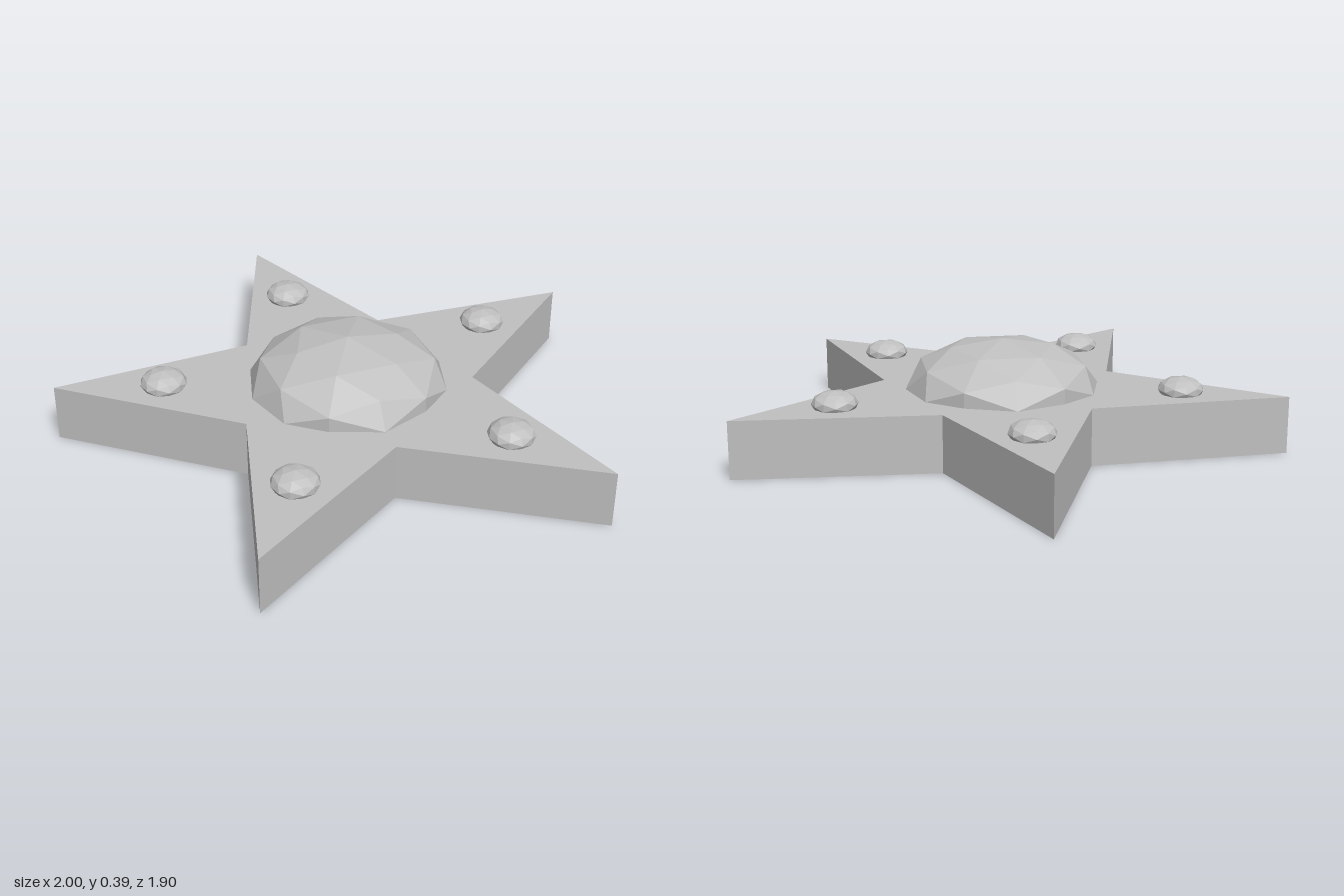
import * as THREE from 'three';

export function createModel() {
  const model = new THREE.Group();
  model.name = 'jewelledStar';
  const grey = new THREE.MeshStandardMaterial({ color: 0xc0c0c0, flatShading: true });
  grey.name = 'grey';

  const outer = 1.0515, inner = 0.45, height = 0.212, centreZ = 0.1;

  // Five-pointed slab, one tip pointing to the back
  const points = [];
  for (let i = 0; i < 10; i++) {
    const a = Math.PI / 2 + (i * Math.PI) / 5;
    const r = i % 2 ? inner : outer;
    points.push(new THREE.Vector2(r * Math.cos(a), r * Math.sin(a)));
  }
  const slab = new THREE.ExtrudeGeometry(new THREE.Shape(points), { depth: height, bevelEnabled: false });
  slab.rotateX(-Math.PI / 2);
  const star = new THREE.Mesh(slab, grey);
  star.name = 'starBody';
  star.position.z = centreZ;
  model.add(star);

  // Flattened faceted stones
  function addStone(name, radius, halfHeight, x, y, z) {
    const geometry = new THREE.IcosahedronGeometry(radius, 1);
    geometry.scale(1, halfHeight / radius, 1);
    const stone = new THREE.Mesh(geometry, grey);
    stone.name = name;
    stone.position.set(x, y, z);
    model.add(stone);
  }

  addStone('centreStone', 0.36, 0.18, 0, 0.212, centreZ - 0.004);

  // One small stone on each arm
  for (let i = 0; i < 5; i++) {
    const a = Math.PI / 2 + (i * Math.PI * 2) / 5;
    addStone('armStone' + (i + 1), 0.084, 0.046, 0.66 * Math.cos(a), 0.226, centreZ - 0.66 * Math.sin(a));
  }
  return model;
}
